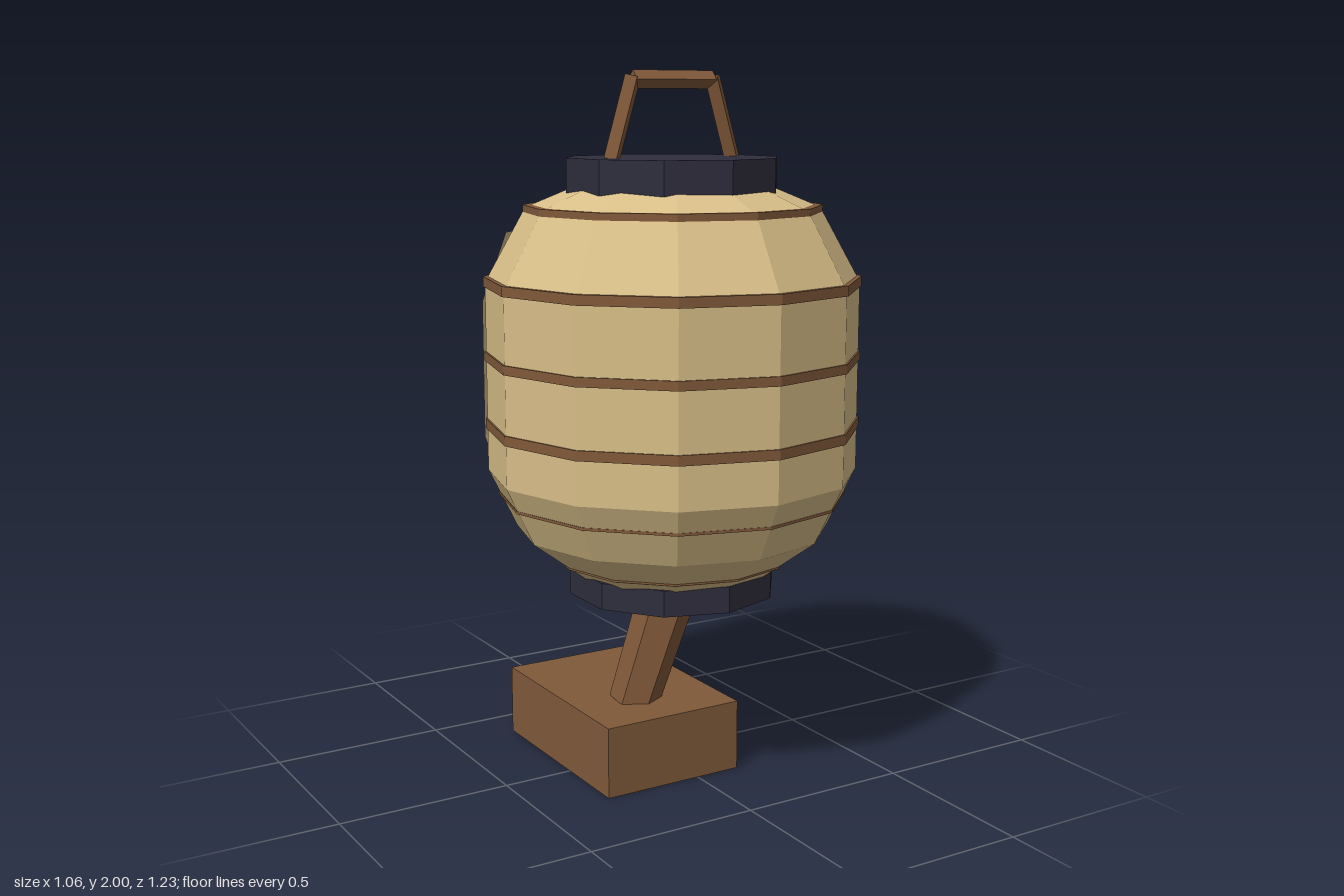
import * as THREE from 'three';

const mat = (name, color, side = THREE.FrontSide) => {
  const m = new THREE.MeshStandardMaterial({ color, side });
  m.name = name;
  return m;
};
const AXIS_Z = 0.087; // depth of the lantern's axis

// Flat-shaded mesh
function part(group, name, geometry, material, x = 0, y = 0, z = 0) {
  const g = geometry.index ? geometry.toNonIndexed() : geometry;
  g.computeVertexNormals();
  const mesh = new THREE.Mesh(g, material);
  mesh.name = name;
  mesh.position.set(x, y, z);
  group.add(mesh);
  return mesh;
}

// Faceted rod between two points
function rod(group, name, a, b, rA, rB, sides, material) {
  const from = new THREE.Vector3(...a), to = new THREE.Vector3(...b);
  const dir = to.clone().sub(from);
  const mesh = part(group, name, new THREE.CylinderGeometry(rB, rA, dir.length(), sides), material);
  mesh.position.copy(from).add(to).multiplyScalar(0.5);
  mesh.quaternion.setFromUnitVectors(new THREE.Vector3(0, 1, 0), dir.normalize());
}

// Face sheet: six facets wrapped around the back, [height, radius] rows
const SHEET = [[0.76, 0.47], [0.97, 0.541], [1.36, 0.541], [1.555, 0.47]];
const FACET = 18, HALF = 54;

function sheetPoint(deg, y, offset = 0) {
  let i = 0;
  while (i < SHEET.length - 2 && y > SHEET[i + 1][0]) i++;
  const [y0, r0] = SHEET[i], [y1, r1] = SHEET[i + 1];
  const r = r0 + (r1 - r0) * (y - y0) / (y1 - y0) + offset;
  const start = Math.min(Math.floor((deg + HALF) / FACET), 5) * FACET - HALF;
  const t = (deg - start) / FACET;
  const corner = d => new THREE.Vector3(
    r * Math.sin(THREE.MathUtils.degToRad(d)), y, AXIS_Z - r * Math.cos(THREE.MathUtils.degToRad(d)));
  return corner(start).lerp(corner(start + FACET), t);
}

// Quads on the sheet for every cell accepted by the test
function sheetGeometry(degrees, heights, offset, test = () => true) {
  const pos = [];
  for (let i = 0; i < degrees.length - 1; i++) {
    for (let j = 0; j < heights.length - 1; j++) {
      const [d0, d1, y0, y1] = [degrees[i], degrees[i + 1], heights[j], heights[j + 1]];
      if (!test((d0 + d1) / 2, (y0 + y1) / 2)) continue;
      const a = sheetPoint(d1, y0, offset), b = sheetPoint(d0, y0, offset);
      const c = sheetPoint(d0, y1, offset), d = sheetPoint(d1, y1, offset);
      for (const p of [a, b, c, a, c, d]) pos.push(p.x, p.y, p.z);
    }
  }
  const g = new THREE.BufferGeometry();
  g.setAttribute('position', new THREE.Float32BufferAttribute(pos, 3));
  return g;
}

const range = (from, to, n) => Array.from({ length: n + 1 }, (_, i) => from + (to - from) * i / n);

function inside(poly, x, y) {
  let hit = false;
  for (let i = 0, j = poly.length - 1; i < poly.length; j = i++) {
    const [xi, yi] = poly[i], [xj, yj] = poly[j];
    if ((yi > y) !== (yj > y) && x < (xj - xi) * (y - yi) / (yj - yi) + xi) hit = !hit;
  }
  return hit;
}

// Painted outlines as [degrees from the sheet's middle, height]
const EYE = [[52, 1.39], [45, 1.385], [42, 1.36], [28, 1.335], [13, 1.31], [14, 1.21],
  [17, 1.18], [45, 1.2], [46, 1.23], [49, 1.28]];
const PUPIL = [[34, 1.28], [30, 1.3], [26, 1.285], [26, 1.225], [30, 1.21], [34, 1.225]];
const MOUTH = [[47, 1.11], [38, 1.08], [28, 1.04], [15, 1.01], [0, 0.99], [-15, 1.01], [-28, 1.045],
  [-28, 1.03], [-15, 0.985], [0, 0.965], [12, 0.975], [22, 0.995], [34, 1.04], [33, 1.0],
  [25, 0.95], [14, 0.915], [0, 0.905], [-10, 0.915], [-21, 0.95], [-33, 1.05], [-40, 1.065],
  [-36, 0.98], [-30, 0.89], [-20, 0.85], [-8, 0.86], [5, 0.84], [15, 0.83], [24, 0.86],
  [33, 0.93], [38, 1.0], [43, 1.07]];

export function createModel() {
  const model = new THREE.Group();
  model.name = 'paperLantern';
  const paper = mat('paper', 0xd8be88, THREE.DoubleSide);
  const wood = mat('wood', 0x80593a);
  const ink = mat('ink', 0x2e2d3c);
  const red = mat('red', 0xb34737);

  // Paper body
  const profile = [[0.285, 0.6], [0.445, 0.72], [0.525, 0.885], [0.525, 1.42], [0.41, 1.628], [0.285, 1.68]];
  part(model, 'body', new THREE.LatheGeometry(profile.map(p => new THREE.Vector2(...p)), 12), paper, 0, 0, AXIS_Z);

  // Bamboo hoops: height, radius, thickness
  for (const [y, r, h] of [[1.625, 0.417, 0.02], [1.422, 0.53, 0.028], [1.212, 0.53, 0.026],
    [1.02, 0.53, 0.028], [0.818, 0.496, 0.008], [0.638, 0.338, 0.008]]) {
    part(model, 'hoop', new THREE.CylinderGeometry(r, r, h, 12), wood, 0, y, AXIS_Z);
  }

  // End caps
  part(model, 'topCap', new THREE.CylinderGeometry(0.3, 0.3, 0.095, 10), ink, 0, 1.7175, AXIS_Z);
  part(model, 'bottomCap', new THREE.CylinderGeometry(0.3, 0.3, 0.075, 10), ink, 0, 0.5725, AXIS_Z);

  // Handle
  for (const s of [-1, 1]) {
    rod(model, 'handleLeg', [s * 0.195, 1.76, AXIS_Z], [s * 0.128, 1.982, AXIS_Z], 0.025, 0.025, 4, wood);
  }
  rod(model, 'handleBar', [-0.128, 1.975, AXIS_Z], [0.128, 1.975, AXIS_Z], 0.025, 0.025, 4, wood);

  // Leaning post and block foot
  rod(model, 'post', [-0.105, 0.19, 0.043], [-0.004, 0.55, 0.088], 0.073, 0.085, 6, wood);
  part(model, 'foot', new THREE.BoxGeometry(0.43, 0.205, 0.605), wood, -0.08, 0.1025, -0.0725);

  // Face sheet with painted eyes and mouth
  part(model, 'faceSheet', sheetGeometry(range(-HALF, HALF, 6), SHEET.map(r => r[0]), 0), paper);
  const painted = (d, y) => inside(MOUTH, d, y) ||
    (inside(EYE, Math.abs(d), y) && !inside(PUPIL, Math.abs(d), y));
  part(model, 'facePaint', sheetGeometry(range(-HALF, HALF, 144), range(0.76, 1.555, 100), 0.004, painted), ink);

  // Tongue
  part(model, 'tongue', new THREE.BoxGeometry(0.17, 0.062, 0.235), red, 0.115, 0.756, -0.5).rotation.z = 0.19;

  return model;
}
